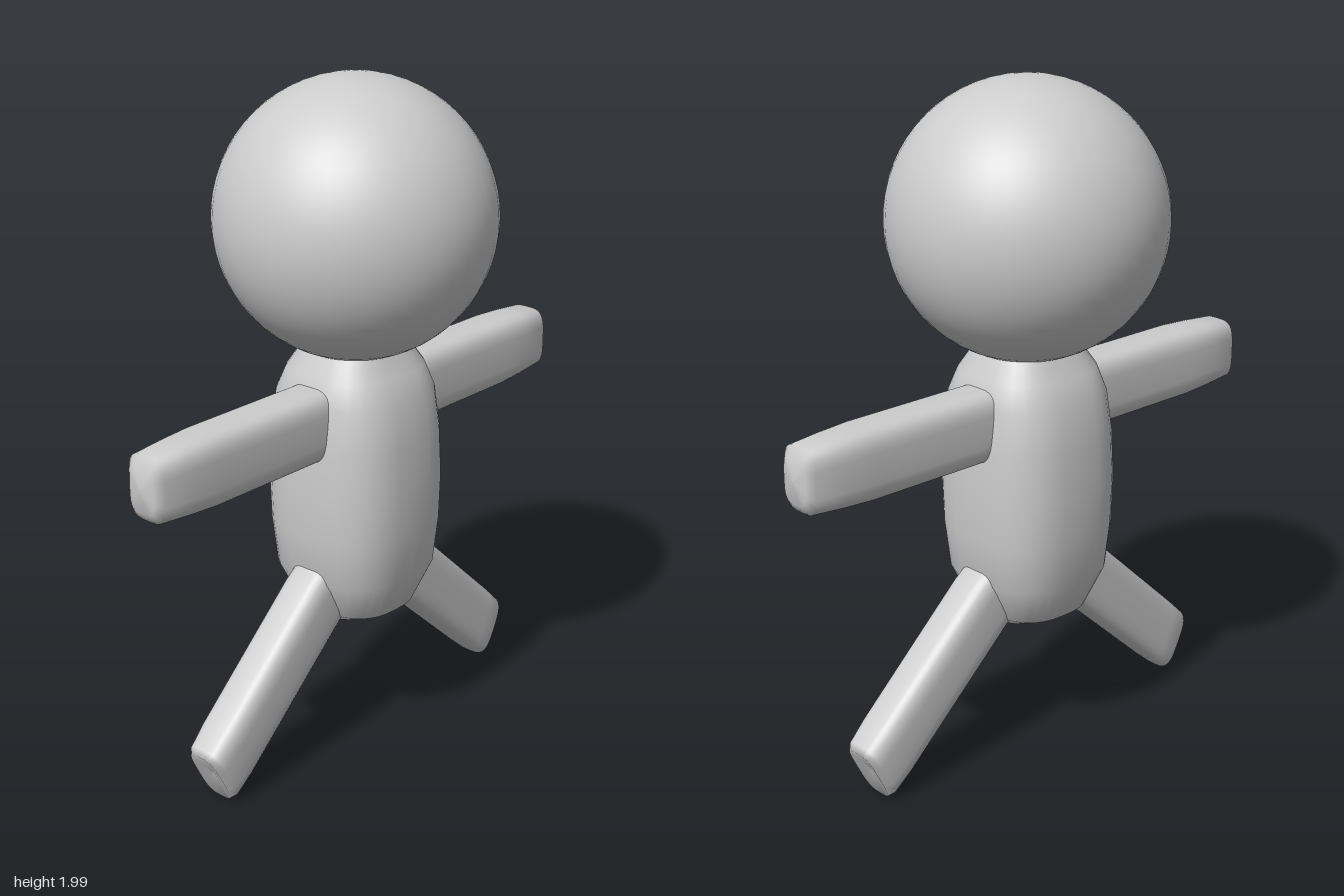
import * as THREE from 'three';

// Smooth loft along +y through rounded-rectangle rings [y, halfX, halfZ, shear]
function loft(rings, power, sides = 32) {
  const pos = [], idx = [];
  const round = (v) => Math.sign(v) * Math.pow(Math.abs(v), 2 / power);
  for (const [y, hx, hz, shear = 0] of rings) {
    for (let i = 0; i < sides; i++) {
      const a = (i / sides) * Math.PI * 2;
      const x = hx * round(Math.cos(a));
      pos.push(x, y + shear * x, hz * round(Math.sin(a)));
    }
  }
  for (let j = 0; j < rings.length - 1; j++) {
    for (let i = 0; i < sides; i++) {
      const k = (i + 1) % sides;
      const a = j * sides + i, c = j * sides + k;
      idx.push(a, a + sides, c, c, a + sides, c + sides);
    }
  }
  const geo = new THREE.BufferGeometry();
  geo.setAttribute('position', new THREE.Float32BufferAttribute(pos, 3));
  geo.setIndex(idx);
  geo.computeVertexNormals();
  return geo;
}

export function createModel() {
  const model = new THREE.Group();
  model.name = 'figure';
  const grey = new THREE.MeshStandardMaterial({ color: 0xcccccc });
  grey.name = 'light grey';

  const add = (name, geo, x, y, angle = 0) => {
    const mesh = new THREE.Mesh(geo, grey);
    mesh.name = name;
    mesh.position.set(x, y, 0);
    mesh.rotation.z = angle;
    model.add(mesh);
  };

  // Round head
  add('head', new THREE.SphereGeometry(0.4, 48, 32), 0, 1.6);

  // Capsule-like torso, closed below and running into the head above
  add('torso', loft([
    [0.405, 0, 0], [0.405, 0.11, 0.08], [0.44, 0.15, 0.16], [0.56, 0.205, 0.212],
    [0.7, 0.222, 0.225], [0.84, 0.225, 0.23], [0.98, 0.222, 0.222], [1.1, 0.208, 0.207],
    [1.17, 0.188, 0.175], [1.235, 0.145, 0.135], [1.28, 0.13, 0.12], [1.28, 0, 0],
  ], 2.7), 0, 0);

  for (const side of [1, -1]) {
    const label = side > 0 ? 'left' : 'right';

    // Straight arm with a slightly tapered, bulging end
    add(label + 'Arm', loft([
      [0, 0.105, 0.08], [0.62, 0.105, 0.08], [0.72, 0.1, 0.076],
      [0.815, 0.093, 0.069], [0.835, 0.065, 0.045], [0.84, 0, 0],
    ], 3.6), 0, 1.045, -side * Math.PI / 2);

    // Splayed leg, its sole cut at a slant
    const s = 0.27 * side;
    add(label + 'Leg', loft([
      [-0.1, 0.09, 0.07], [0, 0.098, 0.072], [0.5, 0.095, 0.071, s],
      [0.575, 0.093, 0.066, s], [0.595, 0.088, 0.05, s], [0.58, 0, 0],
    ], 3.6), side * 0.18, 0.495, -side * Math.atan2(0.44, -0.4));
  }
  return model;
}
